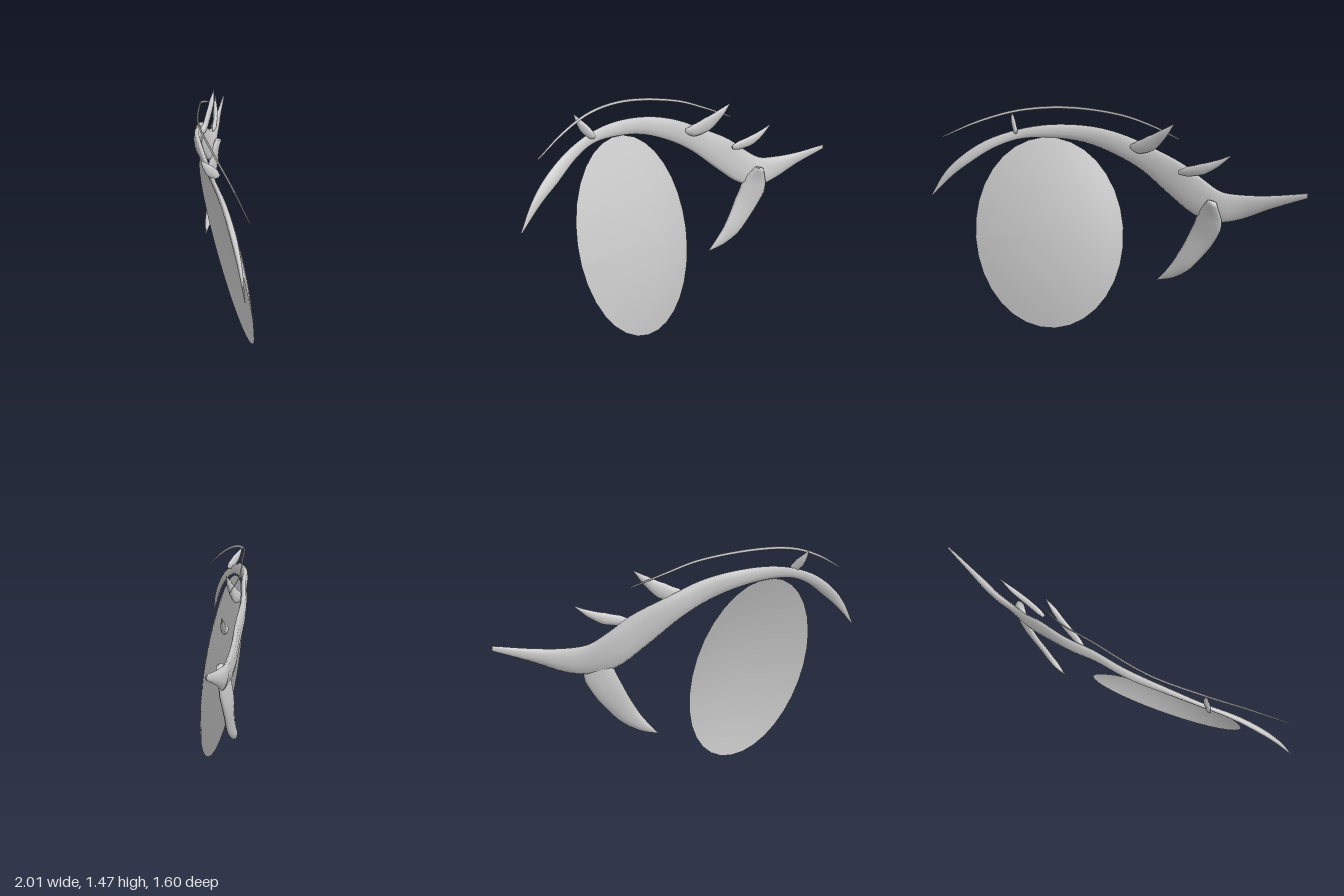
import * as THREE from 'three';

const V = (p) => new THREE.Vector3(...p);
const SIDES = 10;

// Skin a closed solid over elliptical sections { c, u, v }, with u x v along the path
function loft(sections) {
  const pos = [], idx = [];
  const p = new THREE.Vector3();
  for (const { c, u, v } of sections) {
    for (let j = 0; j < SIDES; j++) {
      const a = (j / SIDES) * Math.PI * 2;
      p.copy(c).addScaledVector(u, Math.cos(a)).addScaledVector(v, Math.sin(a));
      pos.push(p.x, p.y, p.z);
    }
  }
  const n = sections.length;
  for (let i = 0; i < n - 1; i++) {
    for (let j = 0; j < SIDES; j++) {
      const a = i * SIDES + j, b = i * SIDES + (j + 1) % SIDES;
      idx.push(a, b, a + SIDES, b, b + SIDES, a + SIDES);
    }
  }
  // End caps
  for (let j = 1; j < SIDES - 1; j++) {
    const e = (n - 1) * SIDES;
    idx.push(0, j + 1, j, e, e + j, e + j + 1);
  }
  const g = new THREE.BufferGeometry();
  g.setAttribute('position', new THREE.Float32BufferAttribute(pos, 3));
  g.setIndex(idx);
  g.computeVertexNormals();
  return g;
}

// Strip between an upper and a lower edge, with lens-shaped sections
function bandGeometry(top, bottom, thickness, steps) {
  const ct = new THREE.CatmullRomCurve3(top.map(V));
  const cb = new THREE.CatmullRomCurve3(bottom.map(V));
  const mid = (t) => ct.getPoint(t).add(cb.getPoint(t)).multiplyScalar(0.5);
  const sections = [];
  for (let i = 0; i <= steps; i++) {
    const t = i / steps;
    const tan = mid(Math.min(1, t + 0.01)).sub(mid(Math.max(0, t - 0.01)));
    const u = ct.getPoint(t).sub(cb.getPoint(t)).multiplyScalar(0.5);
    const v = tan.cross(u).normalize();
    v.multiplyScalar(Math.min(thickness, u.length() * 0.4));
    sections.push({ c: mid(t), u, v });
  }
  return loft(sections);
}

// Curved blade; points are [x, y, z, halfWidth], normal is the thin direction
function bladeGeometry(points, normal, thickness, steps = 16) {
  const path = new THREE.CatmullRomCurve3(points.map((p) => V(p.slice(0, 3))));
  const n = V(normal).normalize();
  const sections = [];
  for (let i = 0; i <= steps; i++) {
    const t = i / steps;
    const tan = path.getTangent(t);
    // Half width runs straight from point to point
    const k = Math.min(points.length - 2, Math.floor(t * (points.length - 1)));
    const w = THREE.MathUtils.lerp(points[k][3], points[k + 1][3], t * (points.length - 1) - k);
    const u = n.clone().cross(tan).normalize();
    const v = tan.clone().cross(u).normalize().multiplyScalar(Math.min(thickness, w * 0.6));
    sections.push({ c: path.getPoint(t), u: u.multiplyScalar(w), v });
  }
  return loft(sections);
}

export function createModel() {
  const group = new THREE.Group();
  const grey = new THREE.MeshStandardMaterial({ color: 0xcccccc, side: THREE.DoubleSide });
  grey.name = 'lightGrey';
  const add = (name, geometry) => {
    const mesh = new THREE.Mesh(geometry, grey);
    mesh.name = name;
    group.add(mesh);
    return mesh;
  };

  // Iris: tilted oval dish, hollow towards the front
  const iris = new THREE.RingGeometry(0, 1, 32, 8);
  const pos = iris.attributes.position;
  for (let i = 0; i < pos.count; i++) {
    const x = pos.getX(i), y = pos.getY(i);
    const dish = 0.09 * (1 - x * x - y * y);
    pos.setXYZ(i, 0.453 * x, 0.63 * y - 0.045 * x, 0.22 * x + 0.135 * y - dish);
  }
  iris.computeVertexNormals();
  add('iris', iris).position.set(0.3, 0.631, 0.31);

  // Upper lid line
  const lidTop = [
    [-1, 0.972, -0.8], [-0.85, 0.942, -0.62], [-0.73, 0.933, -0.465], [-0.64, 0.947, -0.365],
    [-0.56, 1.02, -0.265], [-0.47, 1.107, -0.17], [-0.31, 1.214, 0.01], [-0.15, 1.294, 0.145],
    [0.01, 1.338, 0.29], [0.24, 1.346, 0.44], [0.44, 1.312, 0.545], [0.65, 1.235, 0.635],
    [0.81, 1.123, 0.71], [0.917, 1.01, 0.755], [1, 0.858, 0.795],
  ];
  const lidBottom = [
    [-1, 0.94, -0.8], [-0.85, 0.858, -0.62], [-0.72, 0.78, -0.48], [-0.62, 0.755, -0.39],
    [-0.515, 0.786, -0.25], [-0.39, 0.915, -0.1], [-0.26, 1.06, 0.045], [-0.115, 1.157, 0.165],
    [0.05, 1.23, 0.31], [0.26, 1.258, 0.435], [0.44, 1.246, 0.53], [0.6, 1.187, 0.59],
    [0.756, 1.085, 0.65], [0.87, 0.99, 0.715], [0.998, 0.852, 0.79],
  ];
  add('upperLid', bandGeometry(lidTop, lidBottom, 0.022, 56));

  // Eyelid crease: thin line tapering to both ends
  add('lidCrease', bladeGeometry([
    [-0.425, 1.27, -0.19, 0.004], [-0.31, 1.348, -0.02, 0.007], [-0.15, 1.415, 0.13, 0.008],
    [0.14, 1.46, 0.38, 0.009], [0.435, 1.44, 0.53, 0.009], [0.7, 1.364, 0.625, 0.008],
    [0.93, 1.262, 0.7, 0.004],
  ], [-0.6, 0, 0.8], 0.007, 42));

  // Lashes
  add('lowerLash', bladeGeometry([
    [-0.57, 0.885, -0.38, 0.035], [-0.576, 0.8, -0.35, 0.085], [-0.57, 0.74, -0.335, 0.098],
    [-0.537, 0.63, -0.285, 0.09], [-0.46, 0.475, -0.205, 0.066], [-0.4, 0.39, -0.13, 0.037],
    [-0.34, 0.335, -0.06, 0.003],
  ], [-0.85, 0, 0.53], 0.02, 24));
  add('upperLashInner', bladeGeometry([
    [-0.2, 1.21, 0.08, 0.015], [-0.23, 1.208, 0.03, 0.042], [-0.29, 1.24, -0.05, 0.05],
    [-0.345, 1.305, -0.13, 0.028], [-0.388, 1.364, -0.187, 0.003],
  ], [-0.85, 0.1, 0.6], 0.016));
  add('upperLashOuter', bladeGeometry([
    [-0.42, 1.06, -0.205, 0.015], [-0.46, 1.068, -0.25, 0.032], [-0.53, 1.088, -0.32, 0.036],
    [-0.6, 1.125, -0.38, 0.022], [-0.666, 1.176, -0.438, 0.003],
  ], [-0.75, 0.1, 0.66], 0.016));
  add('upperLashFront', bladeGeometry([
    [0.465, 1.292, 0.505, 0.01], [0.465, 1.307, 0.53, 0.027], [0.465, 1.348, 0.573, 0.03],
    [0.464, 1.39, 0.607, 0.017], [0.463, 1.424, 0.63, 0.003],
  ], [1, 0, 0], 0.014));

  return group;
}
